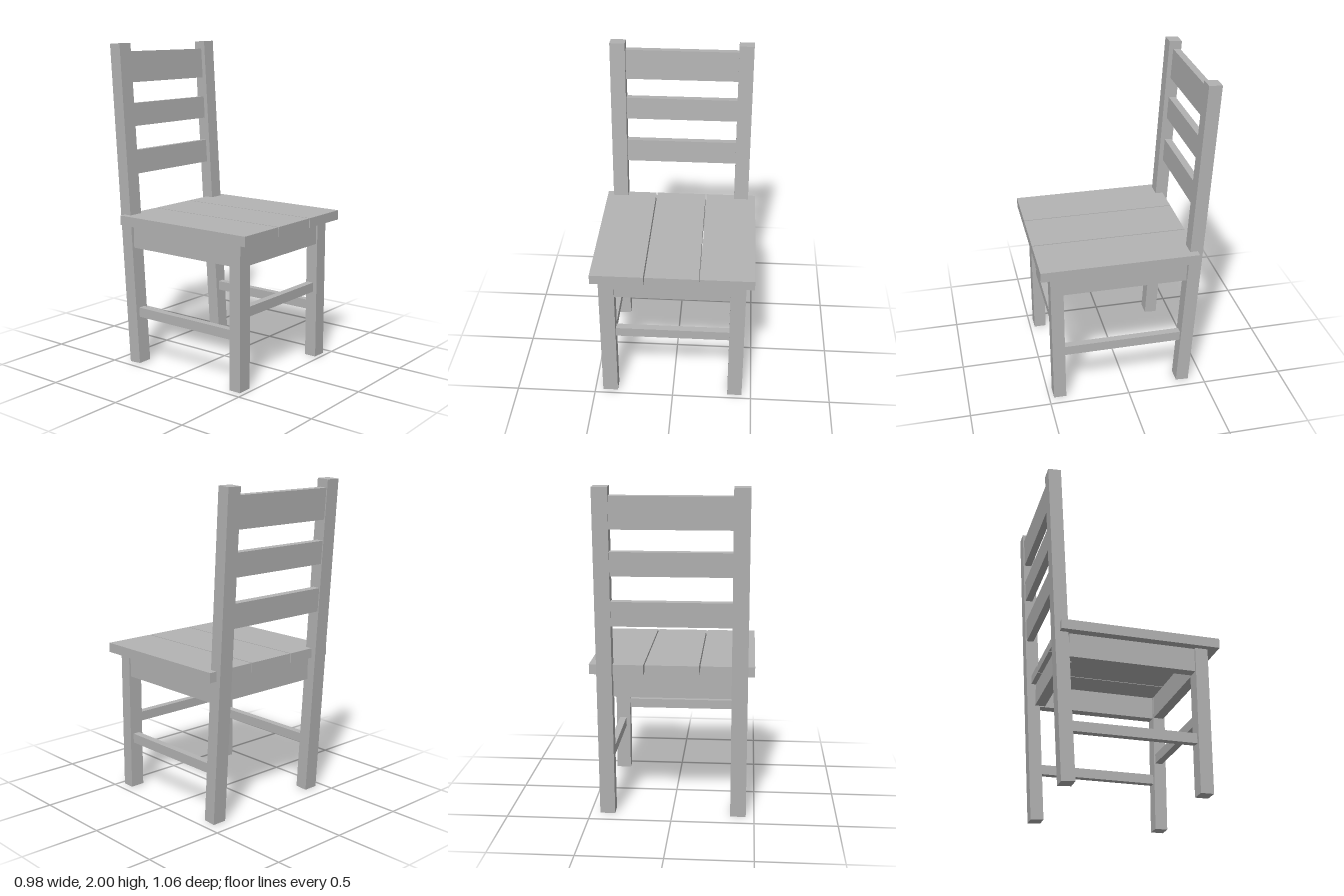
import * as THREE from 'three';

export function createModel() {
  const chair = new THREE.Group();
  chair.name = 'chair';
  const grey = new THREE.MeshStandardMaterial({ color: 0xb3b3b3 });
  grey.name = 'plain grey';

  // Box given by its extents along each axis
  function board(name, [x0, x1], [y0, y1], [z0, z1], parent = chair) {
    const mesh = new THREE.Mesh(new THREE.BoxGeometry(x1 - x0, y1 - y0, z1 - z0), grey);
    mesh.name = name;
    mesh.position.set((x0 + x1) / 2, (y0 + y1) / 2, (z0 + z1) / 2);
    parent.add(mesh);
  }

  const sides = [
    { side: 'right', leg: [-0.45, -0.355], apron: [-0.435, -0.37], bar: [-0.425, -0.38] },
    { side: 'left', leg: [0.35, 0.442], apron: [0.365, 0.43], bar: [0.375, 0.42] },
  ];
  const between = [-0.355, 0.35];

  // Seat planks with narrow gaps
  for (const x of [[-0.49, -0.169], [-0.162, 0.16], [0.167, 0.49]]) {
    board('seatPlank', x, [0.89, 0.95], [-0.432, 0.532]);
  }

  // Front legs, side aprons and side stretchers
  for (const { side, leg, apron, bar } of sides) {
    board(side + 'FrontLeg', leg, [0, 0.89], [0.392, 0.47]);
    board(side + 'Apron', apron, [0.745, 0.89], [-0.372, 0.393]);
    board(side + 'Stretcher', bar, [0.3, 0.36], [-0.347, 0.393]);
  }

  // Cross pieces under the seat
  board('frontApron', between, [0.745, 0.89], [0.395, 0.46]);
  board('backApron', between, [0.745, 0.89], [-0.402, -0.337]);
  board('frontStretcher', between, [0.43, 0.49], [0.4, 0.445]);

  // Leaning back frame: long rear legs and three slats
  const back = new THREE.Group();
  back.name = 'backFrame';
  back.position.set(0, 1, -0.428);
  back.rotation.x = -0.0626;
  chair.add(back);
  for (const { side, leg } of sides) {
    board(side + 'BackLeg', leg, [-0.9995, 0.9995], [-0.04, 0.04], back);
  }
  for (const y of [[0.76, 0.95], [0.49, 0.632], [0.193, 0.34]]) {
    board('backSlat', between, y, [-0.033, 0.012], back);
  }

  return chair;
}
